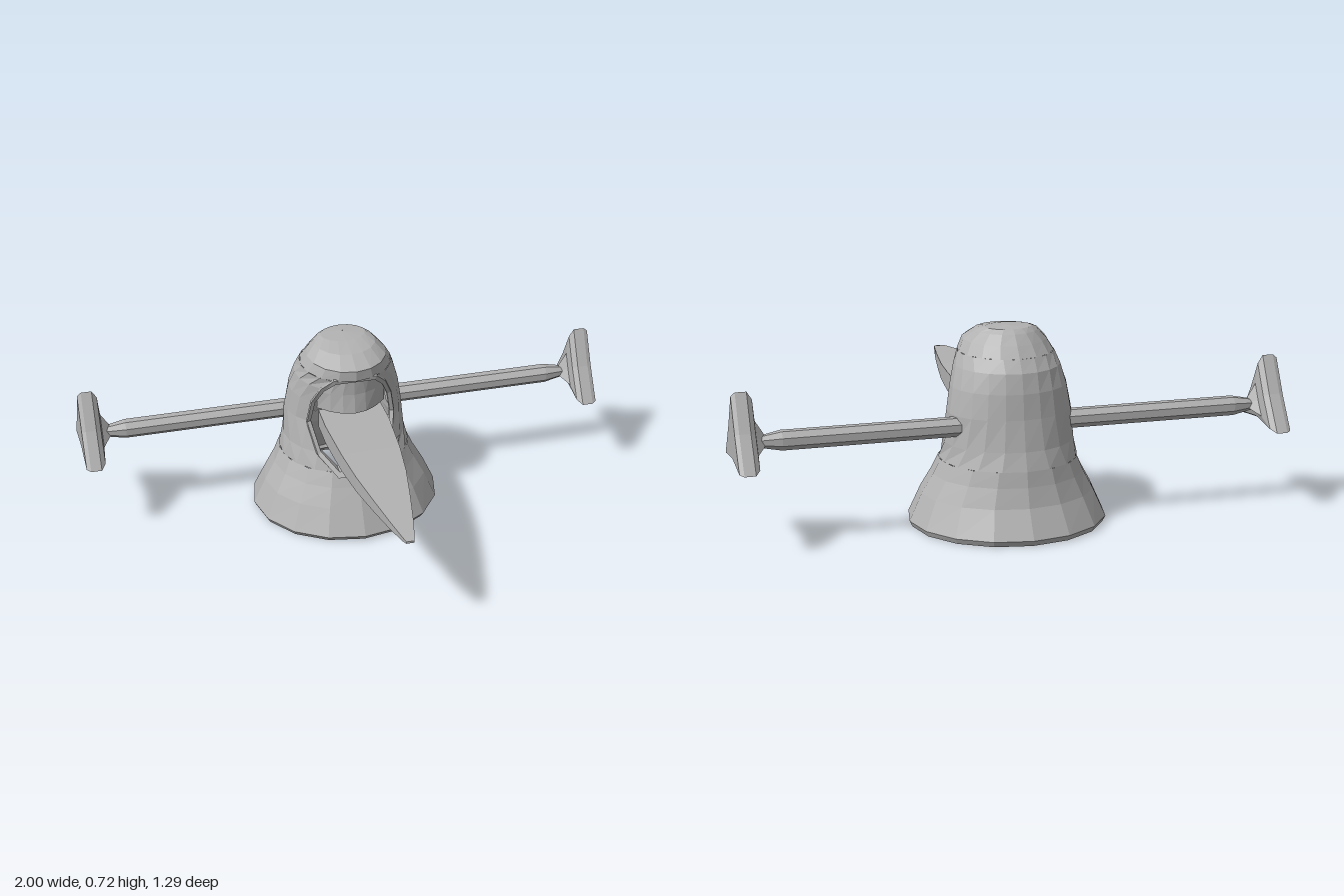
import * as THREE from 'three';

// Skin a list of equal-length point rows with quads; optionally close loops and cap ends.
function loft(rows, { closed = false, capStart = false, capEnd = false } = {}) {
  const pos = [];
  const tri = (a, b, c) => pos.push(...a, ...b, ...c);
  const n = rows[0].length;
  for (let r = 0; r < rows.length - 1; r++) {
    const A = rows[r], B = rows[r + 1];
    for (let i = 0; i < (closed ? n : n - 1); i++) {
      const j = (i + 1) % n;
      tri(A[i], A[j], B[j]);
      tri(A[i], B[j], B[i]);
    }
  }
  const cap = (row, flip) => {
    const c = [0, 1, 2].map(k => row.reduce((s, p) => s + p[k], 0) / n);
    row.forEach((p, i) => {
      const q = row[(i + 1) % n];
      if (flip) tri(c, q, p); else tri(c, p, q);
    });
  };
  if (capStart) cap(rows[0], true);
  if (capEnd) cap(rows[rows.length - 1], false);
  const g = new THREE.BufferGeometry();
  g.setAttribute('position', new THREE.Float32BufferAttribute(pos, 3));
  g.computeVertexNormals();
  return g;
}

// Ring of the body: [y, half width, front z, back z, opening half width]
const SEG = 16;
function ring([y, rx, zf, zb, w = 0]) {
  const start = w ? Math.asin(w / rx) : 0;
  const cz = (zf + zb) / 2, rz = (zf - zb) / 2;
  return Array.from({ length: SEG + 1 }, (_, i) => {
    const t = start + (2 * Math.PI - 2 * start) * i / SEG;
    return [rx * Math.sin(t), y, cz + rz * Math.cos(t)];
  });
}

export function createModel() {
  const model = new THREE.Group();
  const grey = new THREE.MeshStandardMaterial({ color: 0xb2b2b2, side: THREE.DoubleSide });
  grey.name = 'grey';
  const add = (name, geometry, parent = model) => {
    const m = new THREE.Mesh(geometry, grey);
    m.name = name;
    parent.add(m);
    return m;
  };

  // Hollow bell-shaped body, open underneath
  add('skirt', loft([
    [0.02, 0.335, 0.0, -0.62], [0.0, 0.35, 0.01, -0.635], [0.02, 0.36, 0.025, -0.645],
    [0.12, 0.315, -0.025, -0.59], [0.19, 0.275, -0.06, -0.57], [0.245, 0.25, -0.085, -0.56],
  ].map(r => ring(r))));

  // Middle, with the face opening at the front
  const openRows = [
    [0.245, 0.25, -0.085, -0.56, 0.08], [0.31, 0.235, -0.11, -0.54, 0.14],
    [0.42, 0.225, -0.15, -0.52, 0.165], [0.51, 0.21, -0.14, -0.51, 0.15],
    [0.58, 0.19, -0.12, -0.495, 0.12], [0.625, 0.172, -0.11, -0.465, 0.08],
  ].map(r => ring(r));
  add('torso', loft(openRows));

  // Domed hood
  add('hood', loft([
    [0.625, 0.172, -0.11, -0.465], [0.665, 0.15, -0.11, -0.435], [0.7, 0.115, -0.18, -0.405],
    [0.715, 0.085, -0.26, -0.385], [0.72, 0.001, -0.33, -0.332],
  ].map(r => ring(r))));

  // Rim round the opening, projecting as a lip at the bottom
  const edge = [...openRows.map(r => r[0]), ...openRows.map(r => r[SEG]).reverse()];
  const lipEdge = (inset, out) => edge.map(([x, y, z]) => {
    const low = Math.max(0, (0.36 - y) / 0.115);
    return [x * inset, 0.43 + (y - 0.43) * inset, z + out * (0.2 + low)];
  });
  add('openingRim', loft([
    lipEdge(1.04, 0.0), lipEdge(1.02, 0.03), lipEdge(0.93, 0.015), lipEdge(0.92, -0.02),
  ], { closed: true }));

  // Curved brow under the hood
  const brow = (y, w, z, bend) => Array.from({ length: 7 }, (_, i) => {
    const t = i / 3 - 1;
    return [w * t, y, z - bend * t * t];
  });
  add('brow', loft([
    brow(0.49, 0.11, -0.19, 0.03), brow(0.475, 0.13, -0.13, 0.075),
    brow(0.55, 0.13, -0.14, 0.06), brow(0.62, 0.09, -0.14, 0.03),
  ]));

  // Long flat beak: [z, half width, bottom, top]
  add('beak', loft([
    [-0.22, 0.12, 0.38, 0.455], [-0.1, 0.122, 0.38, 0.455], [0.1, 0.11, 0.382, 0.453],
    [0.25, 0.093, 0.387, 0.448], [0.4, 0.067, 0.394, 0.441], [0.53, 0.042, 0.402, 0.433],
    [0.62, 0.022, 0.41, 0.426], [0.645, 0.014, 0.414, 0.422],
  ].map(([z, w, b, t]) => [[-w, b, z], [w, b, z], [w, t, z], [-w, t, z]]),
  { closed: true, capStart: true, capEnd: true }));

  // Arms and three-pointed hands, mirrored
  const cy = 0.38, cz = -0.39;
  const star = [[0, 0.18], [0.07, 0.05], [0.153, -0.075], [0, -0.055], [-0.153, -0.075], [-0.07, 0.05]];
  for (const side of [1, -1]) {
    const arm = new THREE.Group();
    arm.name = side > 0 ? 'leftArm' : 'rightArm';
    const hex = ([x, r]) => Array.from({ length: 8 }, (_, i) => {
      const a = (i + 0.5) * Math.PI / 4;
      return [side * x, cy + r * Math.cos(a), cz + r * Math.sin(a)];
    });
    add('armRod', loft([[0.19, 0.036], [0.83, 0.036], [0.9, 0.022], [0.93, 0.022]].map(hex),
      { closed: true, capStart: true, capEnd: true }), arm);
    const section = ([x, s]) => star.map(([z, y]) => [side * x, cy + y * s, cz + z * s]);
    add('hand', loft([[0.89, 0.15], [0.92, 0.42], [0.927, 0.84], [0.945, 1], [0.985, 1], [1, 0.93]].map(section),
      { closed: true, capStart: true, capEnd: true }), arm);
    model.add(arm);
  }
  return model;
}
